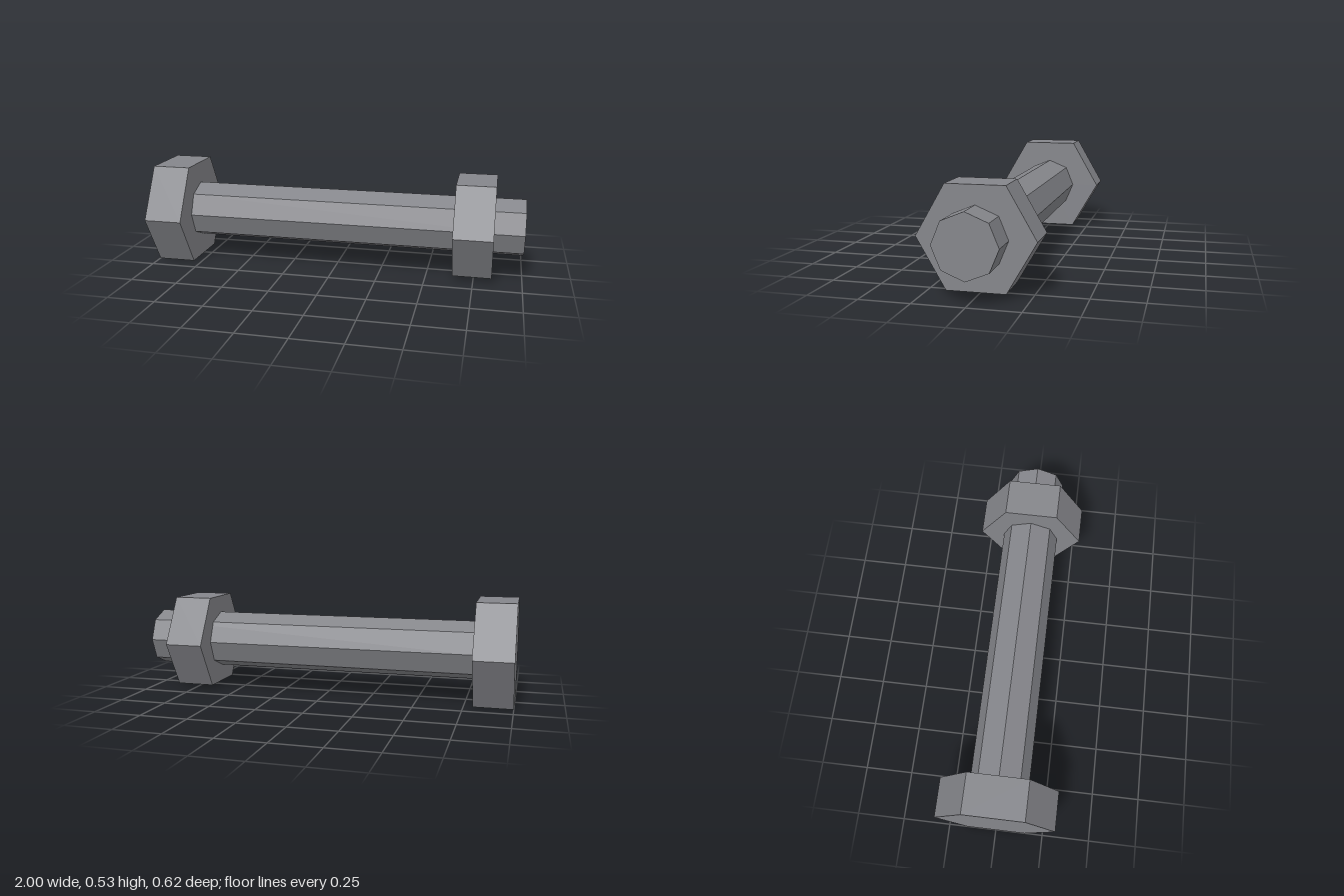
import * as THREE from 'three';

export function createModel() {
  const group = new THREE.Group();
  const steel = new THREE.MeshStandardMaterial({ color: 0x85868b, flatShading: true });
  steel.name = 'steel grey';
  const axisHeight = 0.267;

  // Prism lying along x between two ends, with a corner pointing to +z
  function addPrism(name, radius, sides, x0, x1) {
    const geometry = new THREE.CylinderGeometry(radius, radius, x1 - x0, sides);
    geometry.rotateZ(-Math.PI / 2);
    const mesh = new THREE.Mesh(geometry, steel);
    mesh.name = name;
    mesh.position.set((x0 + x1) / 2, axisHeight, 0);
    group.add(mesh);
  }

  addPrism('head', 0.308, 6, -1, -0.797);
  addPrism('shaft', 0.153, 8, -0.797, 1);
  addPrism('nut', 0.282, 6, 0.642, 0.845);

  return group;
}
